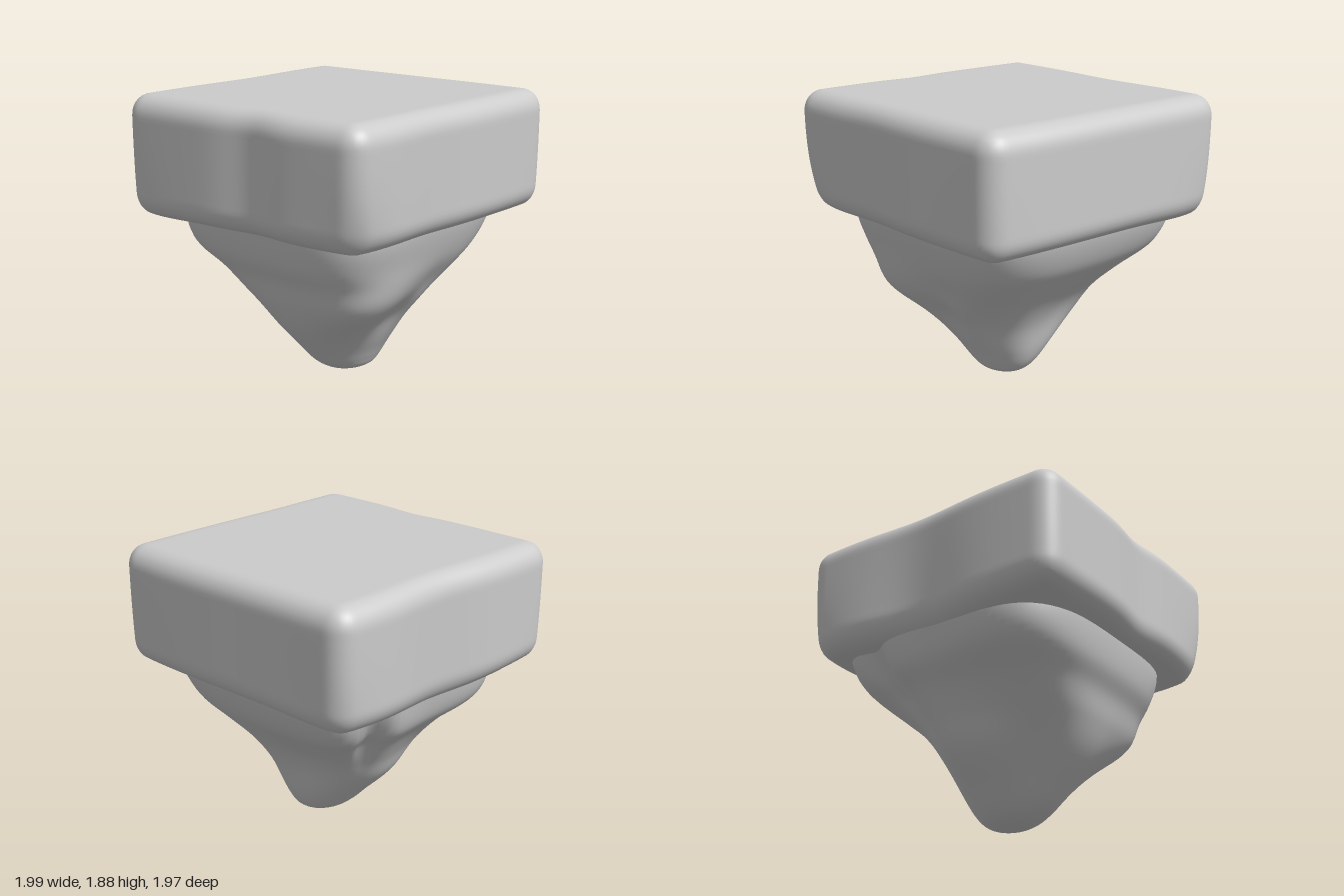
import * as THREE from 'three';
import { mergeVertices } from 'three/addons/utils/BufferGeometryUtils.js';

const gauss = (d, w) => Math.exp(-(d * d) / (w * w));
const clamp = THREE.MathUtils.clamp;

function smooth(geometry) {
  geometry.deleteAttribute('normal');
  geometry.deleteAttribute('uv');
  const merged = mergeVertices(geometry, 1e-4);
  merged.computeVertexNormals();
  return merged;
}

// Soft square slab: a dense box rounded at its edges, then gently dented
function slabGeometry() {
  const half = new THREE.Vector3(0.993, 0.393, 0.988), r = 0.14;
  const geo = new THREE.BoxGeometry(half.x * 2, half.y * 2, half.z * 2, 60, 28, 60);
  const pos = geo.attributes.position;
  const p = new THREE.Vector3(), core = new THREE.Vector3();
  for (let i = 0; i < pos.count; i++) {
    p.fromBufferAttribute(pos, i);
    core.set(
      clamp(p.x, r - half.x, half.x - r),
      clamp(p.y, r - half.y, half.y - r),
      clamp(p.z, r - half.z, half.z - r));
    p.sub(core).setLength(r).add(core);
    const { x, y, z } = p;
    const low = clamp(0.5 - y / (2 * half.y), 0, 1);
    const back = clamp(-z, 0, 1), front = clamp(z, 0, 1), left = clamp(-x, 0, 1);
    // Corners draw in towards the bottom, most of all the front left one
    const corner = Math.abs(x * z) ** 4;
    const blunt = x * z < 0 ? (x < 0 ? 0.12 : 0.06) : 0.02;
    const draw = 1 - corner * (0.015 + blunt * low ** 3);
    p.x *= draw;
    p.z *= draw;
    p.z += back * back * gauss(x - 0.08, 0.36) * (0.035 + 0.03 * low);
    p.z -= front * front * gauss(x + 0.25, 0.3) * (0.01 + 0.02 * low);
    p.x += left * left * gauss(z - 0.1, 0.2) * 0.035;
    p.x += clamp(x, 0, 1) * 0.01 * Math.sin(z * 2.5);
    p.y += 1.488 - low * 0.06 * gauss(z + 0.75, 0.3) * gauss(x, 0.75);
    pos.setXYZ(i, p.x, p.y, p.z);
  }
  return smooth(geo);
}

// Rock sections: height, -x, +x, -z, +z reach, squareness
const sections = [
  [0.00, 0.00, 0.00, 0.00, 0.00, 2.0],
  [0.01, 0.11, 0.10, 0.08, 0.08, 2.0],
  [0.04, 0.21, 0.18, 0.16, 0.14, 2.0],
  [0.10, 0.31, 0.24, 0.24, 0.18, 2.0],
  [0.20, 0.41, 0.29, 0.34, 0.24, 2.1],
  [0.40, 0.59, 0.36, 0.55, 0.38, 2.3],
  [0.58, 0.69, 0.47, 0.66, 0.53, 2.6],
  [0.75, 0.75, 0.62, 0.78, 0.63, 3.0],
  [0.90, 0.83, 0.75, 0.92, 0.69, 3.3],
  [1.10, 0.87, 0.83, 0.97, 0.75, 3.5],
  [1.25, 0.87, 0.83, 0.97, 0.75, 3.5],
];
// Hollows and swellings: angle, height, angular width, height width, amount
const dents = [
  [1.70, 0.45, 0.28, 0.16, -0.10],
  [1.35, 0.66, 0.30, 0.16, -0.06],
  [2.20, 0.56, 0.38, 0.22, 0.18],
  [2.30, 1.00, 0.30, 0.25, 0.05],
  [0.85, 0.45, 0.35, 0.25, -0.08],
  [0.80, 1.00, 0.30, 0.25, 0.02],
  [-0.40, 0.50, 0.35, 0.22, -0.10],
  [-0.80, 1.00, 0.20, 0.30, 0.05],
  [-1.02, 0.85, 0.11, 0.25, -0.12],
  [-1.60, 0.95, 0.35, 0.25, -0.03],
  [-1.95, 0.60, 0.40, 0.25, -0.07],
  [-2.40, 0.36, 0.40, 0.22, -0.13],
  [-2.35, 0.95, 0.30, 0.25, 0.04],
];

// Tapering rock lofted through the sections around an offset axis
function rockGeometry() {
  const rows = 60, around = 112, cx = 0.05, cz = 0.08;
  const tracks = [1, 2, 3, 4, 5].map(c =>
    new THREE.SplineCurve(sections.map(s => new THREE.Vector2(s[0], s[c]))));
  const verts = [], index = [];
  for (let j = 0; j <= rows; j++) {
    const t = j / rows;
    const y = Math.max(0, tracks[0].getPoint(t).x);
    const [xn, xp, zn, zp, n] = tracks.map(c => Math.max(0, c.getPoint(t).y));
    for (let i = 0; i < around; i++) {
      const a = -Math.PI + (i / around) * Math.PI * 2;
      const c = Math.cos(a), s = Math.sin(a);
      let r = Math.pow(Math.abs(c) ** n + Math.abs(s) ** n, -1 / n);
      for (const [da, dy, wa, wy, amount] of dents) {
        const gap = Math.atan2(Math.sin(a - da), Math.cos(a - da));
        r *= 1 + amount * gauss(gap, wa) * gauss(y - dy, wy);
      }
      verts.push(cx + r * c * (c > 0 ? xp : xn), y, cz + r * s * (s > 0 ? zp : zn));
      if (j < rows) {
        const k = (i + 1) % around;
        const p = j * around + i, q = j * around + k;
        index.push(p, p + around, q, q, p + around, q + around);
      }
    }
  }
  const geo = new THREE.BufferGeometry();
  geo.setAttribute('position', new THREE.Float32BufferAttribute(verts, 3));
  geo.setIndex(index);
  return smooth(geo);
}

export function createModel() {
  const group = new THREE.Group();
  group.name = 'floatingIsland';
  const material = new THREE.MeshStandardMaterial({ color: 0xcccccc });
  const add = (name, geometry) => {
    const mesh = new THREE.Mesh(geometry, material);
    mesh.name = name;
    group.add(mesh);
  };
  add('topSlab', slabGeometry());
  add('rockBase', rockGeometry());
  return group;
}
